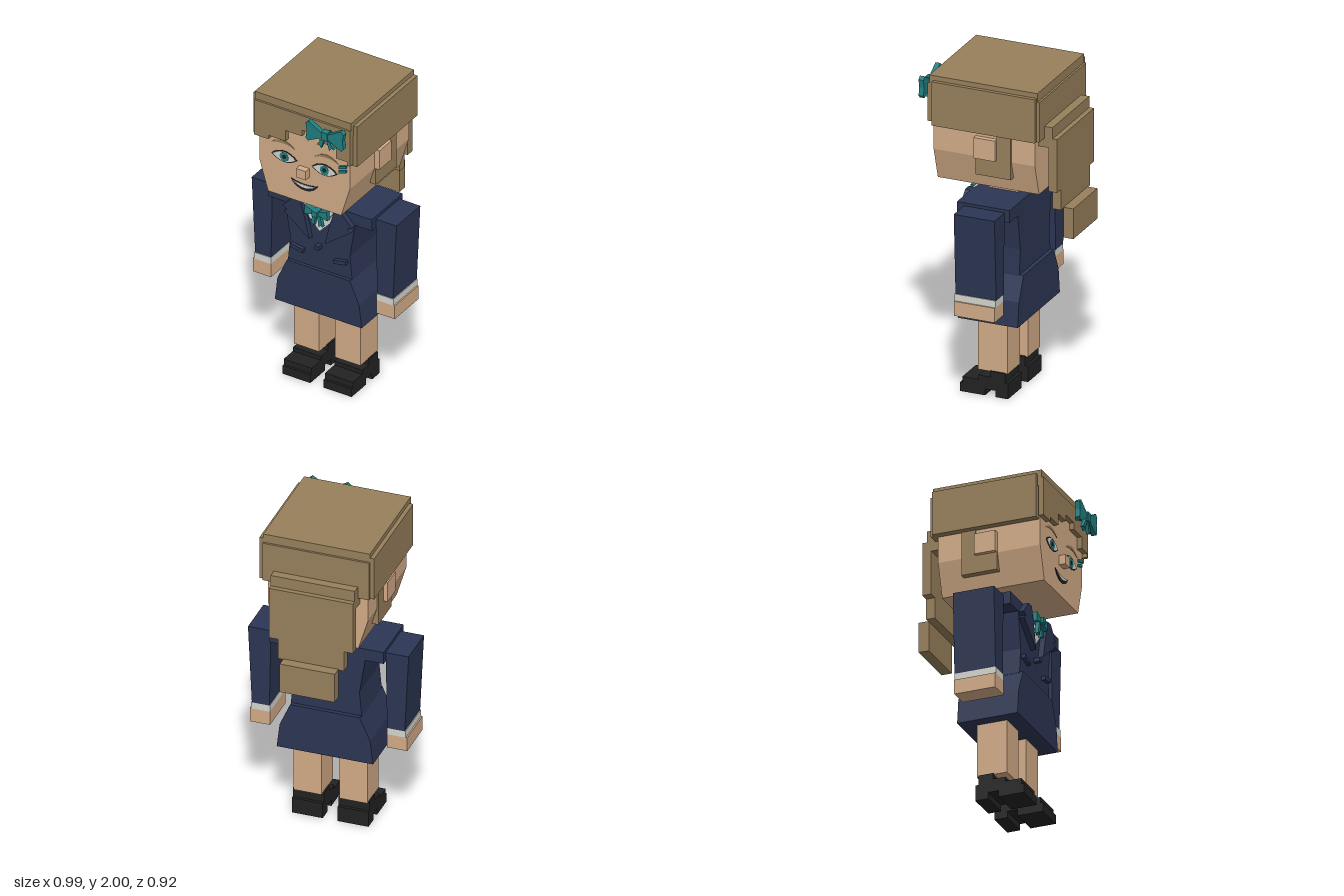
import * as THREE from 'three';

const mat = (name, color) => Object.assign(new THREE.MeshStandardMaterial({ color }), { name });

export function createModel() {
  const g = new THREE.Group();
  g.name = 'blockFigure';
  const skin = mat('skin', 0xd3ac88), hair = mat('hair', 0x977f5b), navy = mat('navy', 0x2c3553);
  const white = mat('white', 0xd6d6d0), black = mat('black', 0x222222), teal = mat('teal', 0x1f7e80);

  const add = (name, geo, m) => {
    const mesh = new THREE.Mesh(geo, m);
    mesh.name = name;
    g.add(mesh);
    return mesh;
  };
  // Box given by its limits
  const box = (name, m, x0, x1, y0, y1, z0, z1) => {
    const geo = new THREE.BoxGeometry(Math.abs(x1 - x0), y1 - y0, z1 - z0);
    geo.translate((x0 + x1) / 2, (y0 + y1) / 2, (z0 + z1) / 2);
    return add(name, geo, m);
  };
  const toShape = (pts) => new THREE.Shape(pts.map(([x, y]) => new THREE.Vector2(x, y)));
  // Front outline extruded from z0 to z1
  const prism = (name, m, shape, z0, z1) => {
    const s = Array.isArray(shape) ? toShape(shape) : shape;
    const geo = new THREE.ExtrudeGeometry(s, { depth: z1 - z0, bevelEnabled: false, curveSegments: 10 });
    geo.translate(0, 0, z0);
    return add(name, geo, m);
  };
  // Side outline (z, y) extruded from x0 to x1
  const sidePrism = (name, m, pts, x0, x1) => {
    const geo = new THREE.ExtrudeGeometry(toShape(pts), { depth: x1 - x0, bevelEnabled: false });
    geo.translate(0, 0, -x1);
    geo.rotateY(-Math.PI / 2);
    return add(name, geo, m);
  };
  const flip = (pts, s) => pts.map(([x, y]) => [x * s, y]);
  const symmetric = (half) => [...half, ...flip(half, -1).reverse()];
  // Closed shape between two curves that share their end points
  const lens = (x, y, w, top, bottom) => {
    const s = new THREE.Shape();
    s.moveTo(x - w, y);
    s.quadraticCurveTo(x, y + 2 * top, x + w, y);
    s.quadraticCurveTo(x, y + 2 * bottom, x - w, y);
    return s;
  };
  const disc = (x, y, r) => new THREE.Shape().absarc(x, y, r, 0, Math.PI * 2);

  // Head
  prism('head', skin, symmetric([[0.25, 1.33], [0.31, 1.53], [0.31, 1.94]]), -0.28, 0.365);
  box('nose', skin, -0.033, 0.033, 1.52, 1.58, 0.36, 0.405);
  box('neck', skin, -0.08, 0.08, 1.2, 1.34, -0.07, 0.115);

  // Hair cap, fringe and back
  box('hairTop', hair, -0.33, 0.33, 1.9, 2, -0.305, 0.383);
  prism('fringe', hair, [
    [-0.33, 1.95], [-0.33, 1.71], [-0.23, 1.71], [-0.23, 1.735], [-0.112, 1.735], [-0.112, 1.808],
    [0, 1.808], [0, 1.85], [0.12, 1.85], [0.12, 1.808], [0.235, 1.808], [0.235, 1.735],
    [0.31, 1.735], [0.31, 1.71], [0.33, 1.71], [0.33, 1.95],
  ], 0.364, 0.395);
  box('hairBack', hair, -0.33, 0.33, 1.695, 1.945, -0.318, -0.275);
  box('ponytailTop', hair, -0.26, 0.26, 1.64, 1.77, -0.37, -0.275);
  prism('ponytail', hair, symmetric([[0.205, 1.235], [0.205, 1.365], [0.26, 1.365], [0.26, 1.7]]), -0.4, -0.345);
  box('ponytailEnd', hair, -0.17, 0.17, 1.05, 1.24, -0.462, -0.398);

  // Face and limbs, mirrored
  for (const s of [-1, 1]) {
    const lo = (a, b) => (s > 0 ? a : -b), hi = (a, b) => (s > 0 ? b : -a);
    box('hairSide', hair, s * 0.3, s * 0.355, 1.695, 1.97, -0.3, 0.357);
    box('ear', skin, s * 0.3, s * 0.343, 1.53, 1.66, -0.04, 0.095);
    sidePrism('sideburn', hair,
      [[0.095, 1.42], [-0.13, 1.42], [-0.13, 1.7], [-0.04, 1.7], [-0.04, 1.53], [0.095, 1.53]],
      lo(0.27, 0.318), hi(0.27, 0.318));

    // Eye layers and brow
    const ex = s * 0.138, ey = 1.605;
    prism('eyeRim', black, lens(ex, ey, 0.09, 0.04, -0.038), 0.364, 0.367);
    prism('eyeWhite', white, lens(ex, ey, 0.078, 0.033, -0.032), 0.366, 0.369);
    prism('iris', teal, disc(ex, ey, 0.03), 0.368, 0.371);
    prism('pupil', black, disc(ex, ey, 0.013), 0.37, 0.373);
    prism('brow', hair, lens(s * 0.15, 1.677, 0.083, 0.037, 0.017), 0.364, 0.368);

    // Arm
    prism('sleeve', navy, flip([[0.355, 1.225], [0.497, 1.225], [0.473, 0.715], [0.364, 0.715]], s), -0.107, 0.152);
    box('cuff', white, s * 0.362, s * 0.478, 0.672, 0.716, -0.105, 0.156);
    box('hand', skin, s * 0.362, s * 0.487, 0.582, 0.673, -0.103, 0.156);

    // Leg and shoe
    box('leg', skin, s * 0.055, s * 0.228, 0.153, 0.5, -0.07, 0.12);
    sidePrism('shoe', black, [
      [0.23, 0], [0.23, 0.055], [0.215, 0.055], [0.215, 0.093], [0.113, 0.093], [0.113, 0.12],
      [0.037, 0.12], [0.037, 0.158], [-0.057, 0.158], [-0.057, 0.098], [-0.076, 0.098], [-0.076, 0],
      [0.005, 0], [0.005, 0.04], [0.07, 0.04], [0.07, 0],
    ], lo(0.046, 0.237), hi(0.046, 0.237));

    // Jacket details
    prism('lapel', navy, flip([
      [0.164, 1.244], [0.238, 1.162], [0.206, 1.146], [0.228, 1.125], [0.053, 0.992], [0.085, 1.13], [0.118, 1.244],
    ], s), 0.19, 0.23);
    prism('pocket', navy, flip([[0.105, 0.87], [0.19, 0.885], [0.19, 0.91], [0.105, 0.895]], s), 0.19, 0.22);
    prism('collar', white, flip([[0.118, 1.244], [0.02, 1.21], [0.075, 1.165]], s), 0.2, 0.212);

    // Neck bow
    prism('neckBowLoop', teal, flip([[0.015, 1.205], [0.075, 1.225], [0.08, 1.165], [0.015, 1.185]], s), 0.215, 0.245);
    prism('neckBowTail', teal, flip([[0.004, 1.185], [0.022, 1.185], [0.042, 1.105], [0.03, 1.115], [0.016, 1.1]], s), 0.215, 0.238);

    // Hair bow
    const bx = 0.193;
    const shifted = (pts) => flip(pts, s).map(([x, y]) => [x + bx, y]);
    prism('hairBowLoop', teal, shifted([
      [0.02, 1.92], [0.11, 1.973], [0.13, 1.955], [0.122, 1.905], [0.13, 1.855], [0.115, 1.838], [0.02, 1.887],
    ]), 0.424, 0.455);
    prism('hairBowTail', teal, shifted([[0.004, 1.885], [0.022, 1.88], [0.06, 1.825], [0.042, 1.83], [0.028, 1.81]]), 0.428, 0.448);
  }
  box('hairBowKnot', teal, 0.172, 0.214, 1.878, 1.932, 0.42, 0.462);
  box('hairBowPost', teal, 0.183, 0.203, 1.895, 1.915, 0.39, 0.425);
  box('neckBowKnot', teal, -0.018, 0.018, 1.178, 1.212, 0.2, 0.262);

  // Mouth
  const mouth = new THREE.Shape();
  mouth.moveTo(-0.093, 1.476);
  mouth.quadraticCurveTo(0, 1.447, 0.093, 1.476);
  mouth.bezierCurveTo(0.06, 1.4, -0.06, 1.4, -0.093, 1.476);
  prism('mouth', black, mouth, 0.364, 0.368);
  const teeth = new THREE.Shape();
  teeth.moveTo(-0.075, 1.466);
  teeth.quadraticCurveTo(0, 1.45, 0.075, 1.466);
  teeth.quadraticCurveTo(0, 1.412, -0.075, 1.466);
  prism('teeth', white, teeth, 0.367, 0.371);

  // Hair clips on the temple
  for (const y of [1.64, 1.67]) {
    prism('hairClip', teal, [[0.24, y - 0.016], [0.29, y], [0.29, y + 0.017], [0.24, y + 0.001]], 0.36, 0.376);
  }

  // Jacket, shirt and skirt
  prism('jacket', navy, symmetric([
    [0.22, 0.78], [0.205, 0.94], [0.24, 1.167], [0.355, 1.167], [0.355, 1.244],
  ]), -0.14, 0.196);
  prism('shirt', white, symmetric([[0, 1.05], [0.07, 1.125], [0.12, 1.245]]), 0.19, 0.202);
  box('button', navy, -0.014, 0.014, 0.935, 0.96, 0.19, 0.235);
  prism('skirt', navy, symmetric([[0.298, 0.487], [0.28, 0.64], [0.215, 0.786]]), -0.165, 0.216);

  return g;
}
